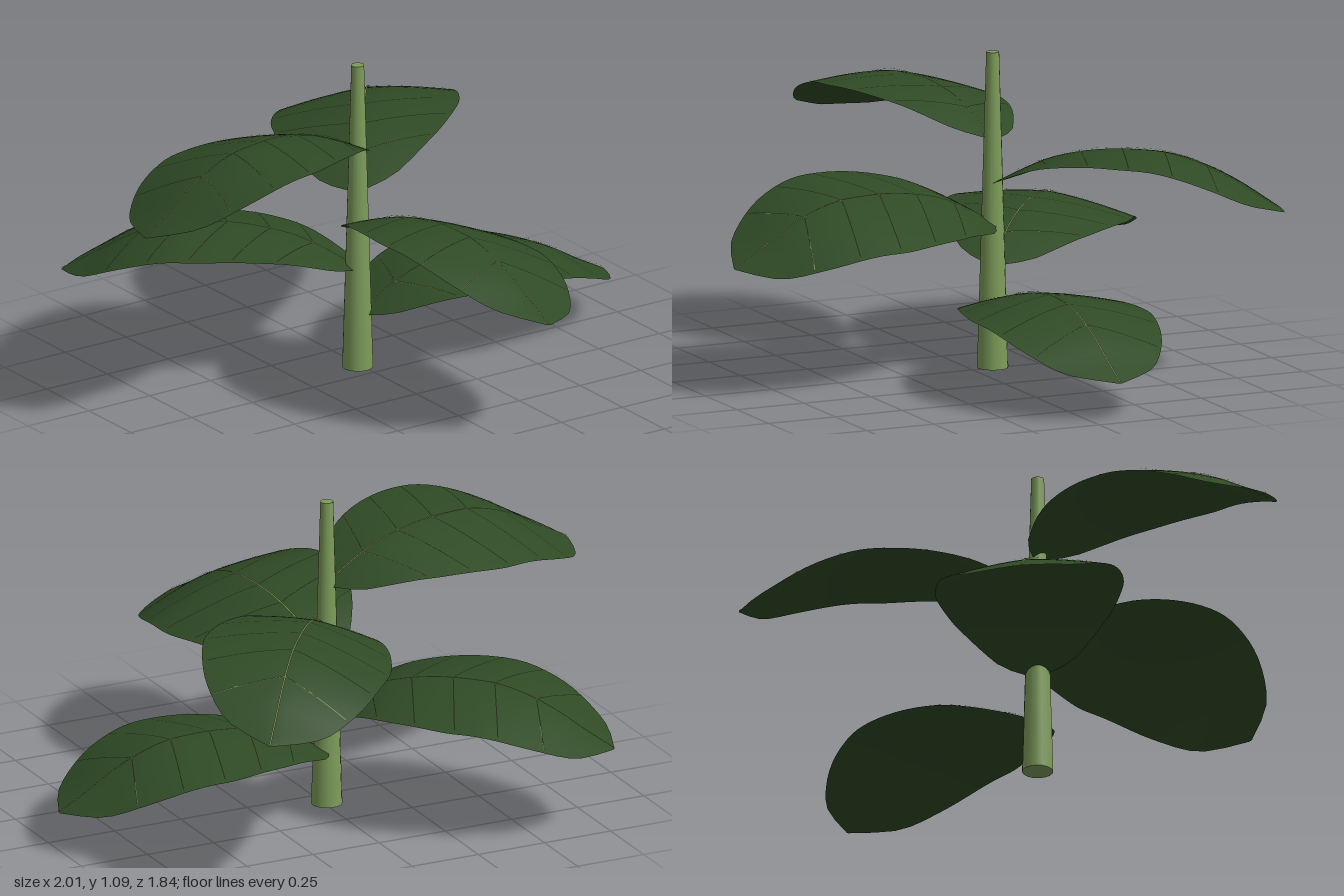
import * as THREE from 'three';

const LENGTH = 1.01, WIDEST = 0.318;
const stemMat = new THREE.MeshStandardMaterial({ name: 'stem green', color: 0x7d9c5a });
const leafMat = new THREE.MeshStandardMaterial({ name: 'leaf green', color: 0x2f4a25, side: THREE.DoubleSide });
const veinMat = new THREE.MeshStandardMaterial({ name: 'vein olive', color: 0x76874a, side: THREE.DoubleSide });

// Smooth curve through [t, value] pairs, sampled by t
function profile(pairs) {
  return (t) => {
    let i = 0;
    while (i < pairs.length - 2 && t > pairs[i + 1][0]) i++;
    const slope = (k) => {
      const a = pairs[Math.max(k - 1, 0)], b = pairs[Math.min(k + 1, pairs.length - 1)];
      return (b[1] - a[1]) / (b[0] - a[0]);
    };
    const [t0, v0] = pairs[i], [t1, v1] = pairs[i + 1], h = t1 - t0;
    const k = THREE.MathUtils.clamp((t - t0) / h, 0, 1), k2 = k * k, k3 = k2 * k;
    return (2 * k3 - 3 * k2 + 1) * v0 + (k3 - 2 * k2 + k) * h * slope(i)
      + (3 * k2 - 2 * k3) * v1 + (k3 - k2) * h * slope(i + 1);
  };
}

// Half width and arching midrib height along the leaf
const halfWidth = profile([[0, 0.02], [0.05, 0.11], [0.11, 0.165], [0.2, 0.225], [0.3, 0.272], [0.45, 0.312],
  [0.55, 0.318], [0.7, 0.29], [0.8, 0.25], [0.9, 0.18], [0.95, 0.115], [1, 0.005]]);
const ribHeight = profile([[0, 0], [0.1, 0.055], [0.2, 0.1], [0.3, 0.125], [0.4, 0.138], [0.5, 0.14],
  [0.6, 0.133], [0.7, 0.105], [0.8, 0.06], [0.9, 0], [1, -0.055]]);

// Leaf surface: t runs base to tip, s is the sideways distance from the midrib
function surface(t, s, roll, lift = 0) {
  const droop = 0.052 * Math.pow(Math.abs(s) / WIDEST, 1.5);
  return [t * LENGTH, ribHeight(t) - droop + s * Math.tan(roll) + lift, s];
}

// Upward-facing grid geometry from point(i, j)
function grid(rows, cols, point) {
  const pos = [], index = [];
  for (let i = 0; i <= rows; i++) for (let j = 0; j <= cols; j++) pos.push(...point(i / rows, j / cols));
  for (let i = 0; i < rows; i++) for (let j = 0; j < cols; j++) {
    const a = i * (cols + 1) + j, b = a + cols + 1;
    index.push(a, a + 1, b, a + 1, b + 1, b);
  }
  const geo = new THREE.BufferGeometry();
  geo.setAttribute('position', new THREE.Float32BufferAttribute(pos, 3));
  geo.setIndex(index);
  geo.computeVertexNormals();
  return geo;
}

function makeLeaf(roll) {
  const leaf = new THREE.Group();
  const add = (name, geo, mat) => {
    const mesh = new THREE.Mesh(geo, mat);
    mesh.name = name;
    leaf.add(mesh);
  };
  add('leafBlade', grid(28, 12, (t, v) => surface(t, (v * 2 - 1) * halfWidth(t), roll)), leafMat);

  // Midrib and paired side veins, thin ribbons just above the blade
  add('midrib', grid(28, 1, (t, v) => surface(t, (v - 0.5) * 0.006, roll, 0.005)), veinMat);
  for (let n = 0; n < 5; n++) for (const side of [-1, 1]) {
    const start = 0.15 + n * 0.145;
    add('sideVein', grid(8, 1, (k, v) => {
      const t = start + 0.09 * k + (v - 0.5) * 0.0035;
      return surface(t, side * k * 0.95 * halfWidth(start + 0.09), roll, 0.004);
    }), veinMat);
  }
  return leaf;
}

export function createModel() {
  const model = new THREE.Group();
  model.name = 'leafyPlant';
  const plant = new THREE.Group();
  plant.name = 'plant';
  plant.position.set(-0.012, 0, -0.08);
  model.add(plant);

  // Tapered stem
  const stem = new THREE.Mesh(new THREE.CylinderGeometry(0.022, 0.053, 1.09, 16), stemMat);
  stem.name = 'stem';
  stem.position.y = 0.545;
  plant.add(stem);

  // Leaves spiral up the stem: [base height, sideways roll in degrees]
  [[0.19, 1], [0.355, -4], [0.5, 14], [0.635, 8], [0.79, -8.5]].forEach(([y, roll], i) => {
    const leaf = makeLeaf(THREE.MathUtils.degToRad(roll));
    leaf.name = 'leaf' + (i + 1);
    leaf.position.y = y;
    leaf.rotation.y = THREE.MathUtils.degToRad(137.5 * i);
    plant.add(leaf);
  });
  return model;
}
